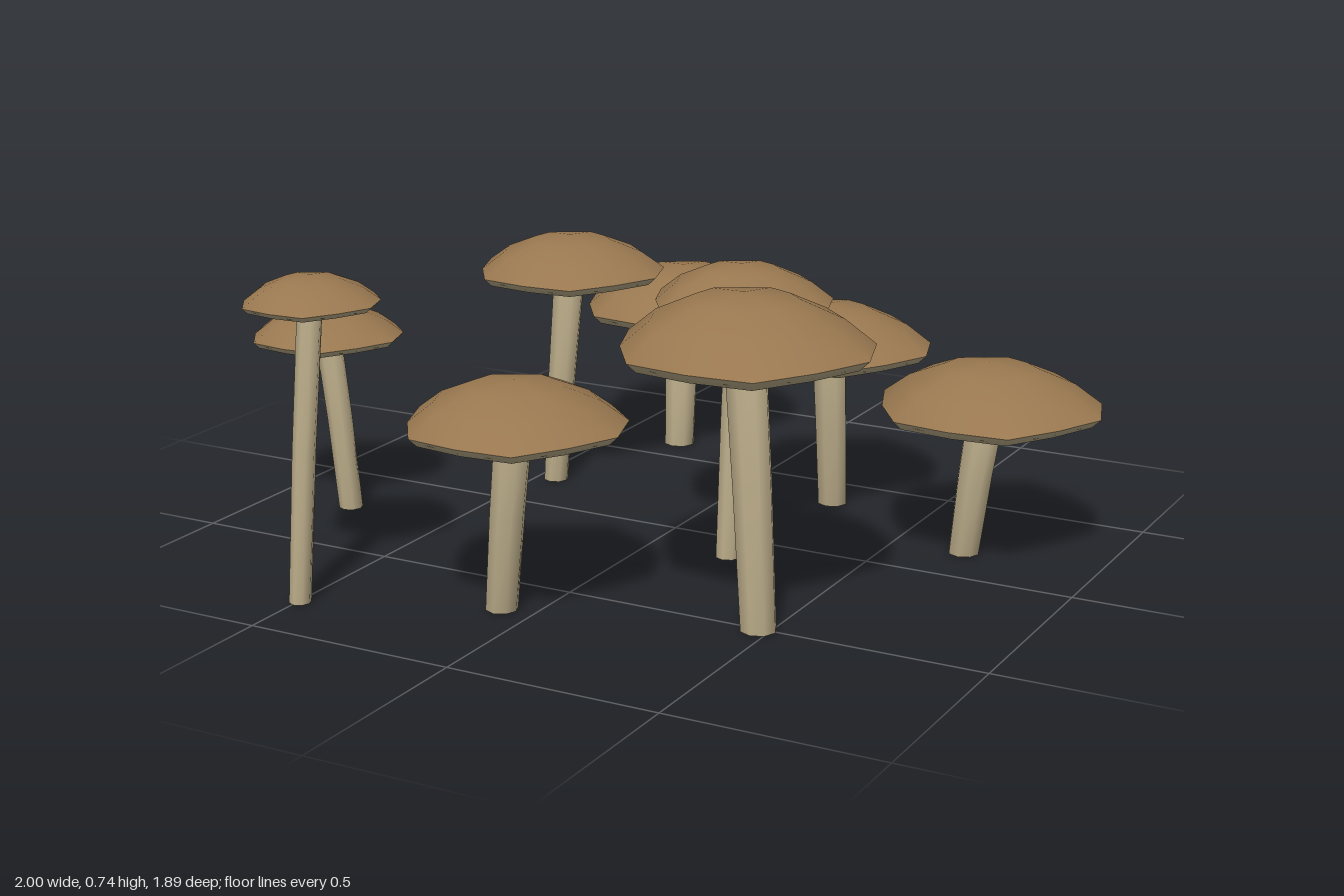
import * as THREE from 'three';
import { mergeVertices } from 'three/addons/utils/BufferGeometryUtils.js';

// cap: centre x, rim height, centre z, radius, dome height
// base: foot x, z; foot: foot radius; neck: radius under the cap
const MUSHROOMS = [
  { cap: [-0.334, 0.37, -0.668, 0.281, 0.105], base: [-0.32, -0.618], foot: 0.04, neck: 0.048 },
  { cap: [-0.414, 0.55, -0.217, 0.246, 0.085], base: [-0.45, -0.195], foot: 0.031, neck: 0.04 },
  { cap: [0.249, 0.415, -0.319, 0.261, 0.1], base: [0.25, -0.355], foot: 0.037, neck: 0.043 },
  { cap: [0.724, 0.366, -0.166, 0.275, 0.1], base: [0.675, -0.165], foot: 0.037, neck: 0.046 },
  { cap: [0.206, 0.605, 0.066, 0.221, 0.083], base: [0.203, 0.12], foot: 0.03, neck: 0.037 },
  { cap: [-0.819, 0.442, 0.256, 0.194, 0.07], base: [-0.78, 0.237], foot: 0.029, neck: 0.032 },
  { cap: [-0.03, 0.44, 0.67, 0.258, 0.092], base: [-0.08, 0.657], foot: 0.037, neck: 0.043 },
  { cap: [0.425, 0.623, 0.487, 0.294, 0.115], base: [0.473, 0.505], foot: 0.041, neck: 0.048 },
  { cap: [-0.466, 0.682, 0.791, 0.16, 0.056], base: [-0.495, 0.833], foot: 0.025, neck: 0.028 },
];

// Uneven cap outline: relative radius every 30 degrees, starting at the back
const OUTLINE = [1, 0.89, 1, 0.945, 0.89, 0.98, 0.91, 1.01, 0.9, 0.98, 0.95, 0.93];

// Join vertices so the whole surface is shaded smoothly
function smooth(geo) {
  geo.deleteAttribute('uv');
  geo.deleteAttribute('normal');
  const merged = mergeVertices(geo, 1e-5);
  merged.computeVertexNormals();
  return merged;
}

// Turned surface whose radius follows the uneven outline
function turned(profile) {
  const points = profile.map(([x, y]) => new THREE.Vector2(x, y));
  const geo = new THREE.LatheGeometry(points, OUTLINE.length, Math.PI);
  const pos = geo.attributes.position;
  for (let i = 0; i < pos.count; i++) {
    const k = OUTLINE[Math.floor(i / points.length) % OUTLINE.length];
    pos.setX(i, pos.getX(i) * k);
    pos.setZ(i, pos.getZ(i) * k);
  }
  return smooth(geo);
}

// Tapered stem that leans gently from its foot to the cap
function stemGeometry(bottom, top, foot, neck) {
  const geo = new THREE.CylinderGeometry(neck, foot, 1, 8, 2);
  const pos = geo.attributes.position;
  for (let i = 0; i < pos.count; i++) {
    const t = pos.getY(i) + 0.5;
    const lean = t * (0.8 + 0.2 * t);
    pos.setXYZ(i,
      pos.getX(i) + THREE.MathUtils.lerp(bottom.x, top.x, lean),
      THREE.MathUtils.lerp(bottom.y, top.y, t),
      pos.getZ(i) + THREE.MathUtils.lerp(bottom.z, top.z, lean));
  }
  return smooth(geo);
}

export function createModel() {
  const brown = new THREE.MeshStandardMaterial({ color: 0x997850 });
  brown.name = 'capBrown';
  const beige = new THREE.MeshStandardMaterial({ color: 0xbdae8b });
  beige.name = 'stemBeige';

  const model = new THREE.Group();
  model.name = 'mushroomCluster';

  MUSHROOMS.forEach(({ cap: [x, y, z, r, h], base, foot, neck }) => {
    const mushroom = new THREE.Group();
    mushroom.name = 'mushroom';
    const add = (name, geo, mat) => {
      const mesh = new THREE.Mesh(geo, mat);
      mesh.name = name;
      mushroom.add(mesh);
      return mesh;
    };

    // Domed top
    add('cap', turned([
      [r, 0], [0.76 * r, 0.47 * h], [0.42 * r, 0.85 * h], [0, h],
    ]), brown).position.set(x, y, z);

    // Turned-under lip around a shallow hollow
    add('gills', turned([
      [0, 0.04 * r], [0.45 * r, 0.03 * r], [0.77 * r, 0.01 * r], [0.92 * r, -0.075 * r], [r, 0],
    ]), beige).position.set(x, y, z);

    add('stem', stemGeometry(
      new THREE.Vector3(base[0], 0, base[1]),
      new THREE.Vector3(x, y + 0.07 * r, z), foot, neck), beige);

    model.add(mushroom);
  });
  return model;
}
